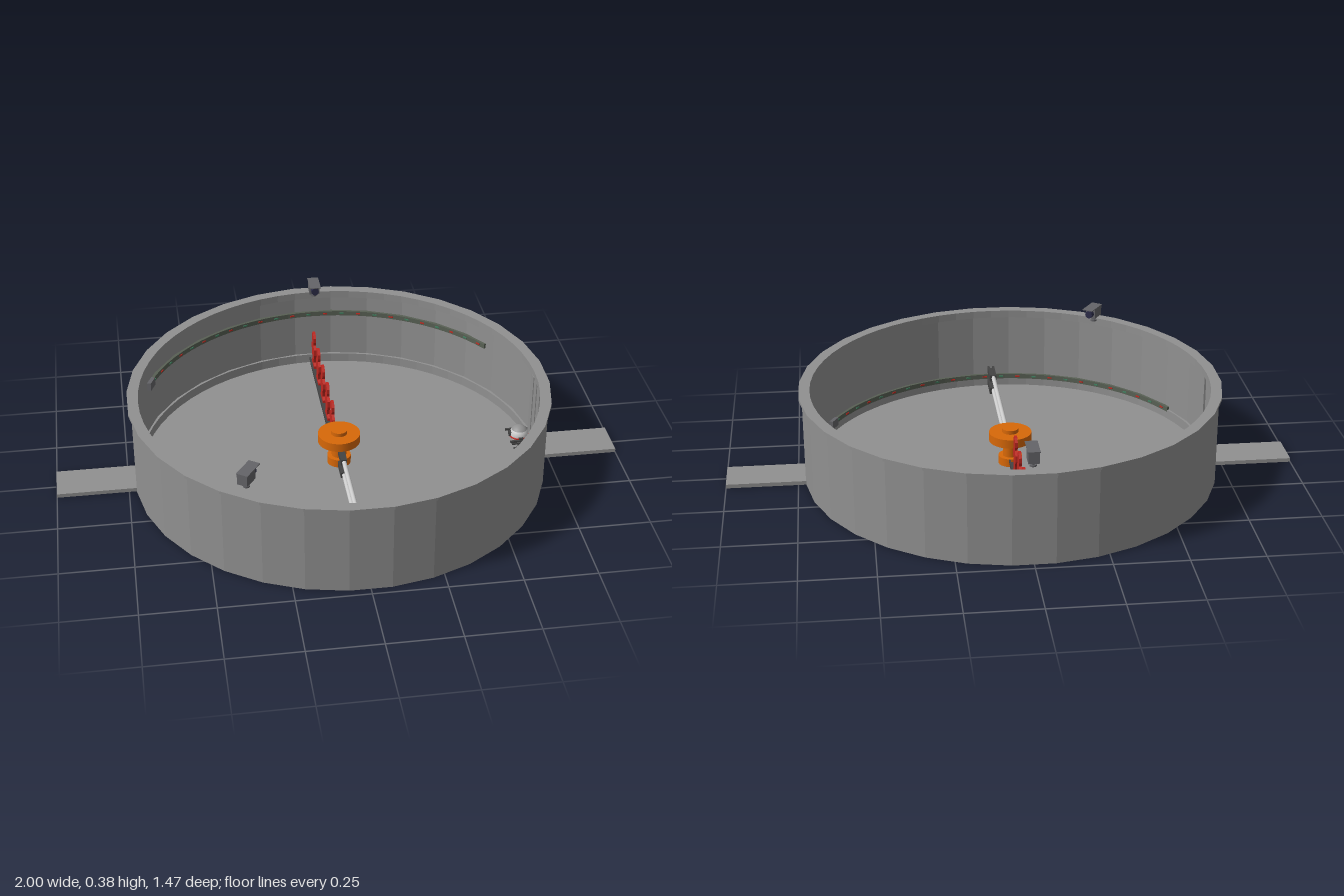
import * as THREE from 'three';

const mat = (color, flatShading = true) => new THREE.MeshStandardMaterial({ color, flatShading });
const grey = mat(0x909090), steel = mat(0x646468), dark = mat(0x444444), lens = mat(0x2c2c48, false);
const orange = mat(0xd86808, false), red = mat(0xc02820), strip = mat(0x586054), green = mat(0x408060);
const rodGrey = mat(0xe0e0e0, false), white = mat(0xf0f0f0, false), capGrey = mat(0x909090, false);

function add(parent, name, geometry, material, x = 0, y = 0, z = 0) {
  const mesh = new THREE.Mesh(geometry, material);
  mesh.name = name;
  mesh.position.set(x, y, z);
  parent.add(mesh);
  return mesh;
}
const box = (w, h, d) => new THREE.BoxGeometry(w, h, d);
const cyl = (r, h, n = 16) => new THREE.CylinderGeometry(r, r, h, n);

function group(parent, name, x = 0, y = 0, z = 0) {
  const g = new THREE.Group();
  g.name = name;
  g.position.set(x, y, z);
  parent.add(g);
  return g;
}

// Curved block between two radii, two heights and two angles (angle 0 = +x, 90 deg = +z)
function arcBlock(r0, r1, y0, y1, a0, a1, n, nInner = n) {
  const pts = [];
  for (let i = 0; i <= n; i++) {
    const a = a0 + (a1 - a0) * i / n;
    pts.push(new THREE.Vector2(r1 * Math.cos(a), r1 * Math.sin(a)));
  }
  for (let i = nInner; i >= 0; i--) {
    const a = a0 + (a1 - a0) * i / nInner;
    pts.push(new THREE.Vector2(r0 * Math.cos(a), r0 * Math.sin(a)));
  }
  const g = new THREE.ExtrudeGeometry(new THREE.Shape(pts), { depth: y1 - y0, bevelEnabled: false });
  return g.rotateX(Math.PI / 2).translate(0, y1, 0);
}

// Camera on a post, looking along its local +z
function addCamera(parent, x, z) {
  const g = group(parent, 'watchCamera', x, 0.325, z);
  add(g, 'cameraFoot', cyl(0.012, 0.006), steel, 0, 0.003, 0);
  add(g, 'cameraPost', cyl(0.007, 0.024, 10), steel, 0, 0.012, 0);
  add(g, 'cameraBody', box(0.037, 0.038, 0.055), steel, 0, 0.038, 0);
  add(g, 'cameraVisor', box(0.041, 0.003, 0.085), steel, 0, 0.0585, 0.014);
  add(g, 'cameraLens', cyl(0.014, 0.02), lens, 0, 0.037, 0.035).rotation.x = Math.PI / 2;
  g.rotation.y = Math.atan2(-x, -z);
}

// Flat target figure standing in the y-z plane
function figureGeometry() {
  const half = [[0.032, 0], [0.032, 0.014], [0.018, 0.024], [0.022, 0.042], [0.036, 0.065],
    [0.036, 0.088], [0.016, 0.1], [0.022, 0.114], [0.022, 0.132], [0.01, 0.146]];
  const pts = half.map(([x, y]) => new THREE.Vector2(x, y));
  half.slice().reverse().forEach(([x, y]) => pts.push(new THREE.Vector2(-x, y)));
  const g = new THREE.ExtrudeGeometry(new THREE.Shape(pts), { depth: 0.01, bevelEnabled: false });
  return g.translate(0, 0, -0.005).rotateY(Math.PI / 2);
}

export function createModel() {
  const model = new THREE.Group();
  model.name = 'arena';
  const half = Math.PI / 32;

  // Floor, wall halves with a low curb inside, and rim
  const floor = add(model, 'floor', cyl(0.722, 0.014, 32), grey, 0, 0.007, 0);
  floor.rotation.y = half;
  for (const a of [0, Math.PI]) {
    const from = a + half, to = a + Math.PI - half;
    add(model, 'wall', arcBlock(0.71, 0.727, 0, 0.317, from, to, 15), grey);
    add(model, 'curb', arcBlock(0.7, 0.712, 0.01, 0.048, from, to, 15, 30), grey);
    add(model, 'rim', arcBlock(0.697, 0.737, 0.315, 0.325, from, a + Math.PI + half, 16, 32), grey);
    add(model, 'rimLip', arcBlock(0.699, 0.712, 0.297, 0.317, from, a + Math.PI + half, 16, 32), grey);
    add(model, 'doorLintel', arcBlock(0.71, 0.727, 0.28, 0.317, a - half, a + half, 1), grey);
  }

  // Doors of finely stepped slats, open by a slit, with a ramp outside each
  for (const s of [1, -1]) {
    const gate = group(model, 'gate');
    for (let i = 0; i < 4; i++) {
      add(gate, 'doorSlat', box(0.01, 0.268, 0.0345), grey, s * (0.7183 - i * 0.003), 0.147, 0.0538 - i * 0.0343);
    }
    add(gate, 'ramp', box(0.29, 0.014, 0.142), grey, s * 0.855, 0.007, -0.005);
  }

  // Central turning hub
  const hub = group(model, 'hub');
  add(hub, 'hubBase', cyl(0.042, 0.03, 32), orange, 0, 0.029, 0);
  add(hub, 'hubShaft', cyl(0.026, 0.08, 32), orange, 0, 0.075, 0);
  add(hub, 'hubDisc', cyl(0.075, 0.032, 32), orange, 0, 0.118, 0);
  add(hub, 'hubCap', cyl(0.029, 0.014, 32), orange, 0, 0.141, 0);

  // Rail carrying the target figures
  const rail = group(model, 'figureRail', -0.004, 0, 0);
  add(rail, 'railBeam', box(0.02, 0.02, 0.64), dark, 0, 0.026, -0.365);
  for (const s of [1, -1]) add(rail, 'railEdge', box(0.005, 0.012, 0.64), dark, s * 0.01, 0.039, -0.365);
  const figure = figureGeometry();
  for (let i = 0; i < 5; i++) add(rail, 'figure', figure, red, 0, 0.032, -0.14 - i * 0.125);

  // Twin rods with end brackets
  const rods = group(model, 'rodArm');
  for (const y of [0.035, 0.088]) {
    add(rods, 'rod', cyl(0.008, 0.5, 16), rodGrey, 0.001, y, 0.35).rotation.x = Math.PI / 2;
    add(rods, 'innerBracket', box(0.022, 0.022, 0.075), dark, 0, y, 0.085);
    for (const s of [1, -1]) add(rods, 'outerBracket', box(0.008, 0.024, 0.095), dark, 0.003 + s * 0.009, y, 0.637);
    add(rods, 'outerBracketCore', box(0.012, 0.016, 0.08), dark, 0.003, y, 0.635);
  }

  // Light strips along the inside wall: low at the front, high at the back
  for (const [start, y] of [[0.48, 0.05], [0.4 + Math.PI, 0.228]]) {
    const g = group(model, 'lightStrip');
    const span = Math.PI * 0.7;
    add(g, 'stripBand', arcBlock(0.698, 0.712, y - 0.009, y + 0.009, start, start + span, 32), strip);
    for (let i = 0; i < 24; i++) {
      const a = start + span * (i + 0.5) / 24;
      const lamp = add(g, 'lamp', box(0.004, 0.005, 0.016), i % 2 ? red : green,
        0.697 * Math.cos(a), y, 0.697 * Math.sin(a));
      lamp.rotation.y = -a;
    }
    const end = add(g, 'stripEnd', box(0.014, 0.03, 0.045), steel, 0.698 * Math.cos(start), y, 0.698 * Math.sin(start));
    end.rotation.y = -start;
  }

  // Cameras on the rim
  addCamera(model, 0, -0.672);
  addCamera(model, -0.378, 0.555);

  // Small round robot beside the gate, facing the hub
  const robot = group(model, 'robot', 0.655, 0.014, 0);
  add(robot, 'robotBody', new THREE.SphereGeometry(0.034, 20, 14), white, 0, 0.055, 0);
  add(robot, 'robotCap', new THREE.SphereGeometry(0.0355, 20, 6, 0, Math.PI * 2, 0, 0.9), capGrey, 0, 0.055, 0);
  add(robot, 'robotBelt', new THREE.TorusGeometry(0.032, 0.004, 8, 24), red, 0, 0.052, 0).rotation.x = Math.PI / 2;
  add(robot, 'robotEye', cyl(0.011, 0.008, 16), dark, -0.033, 0.06, 0).rotation.z = Math.PI / 2;
  for (const s of [1, -1]) {
    add(robot, 'robotShoulder', box(0.016, 0.016, 0.01), dark, 0, 0.052, s * 0.036);
    add(robot, 'robotArm', box(0.065, 0.007, 0.007), dark, -0.008, 0.05, s * 0.041);
    add(robot, 'robotLeg', box(0.01, 0.03, 0.008), dark, 0, 0.016, s * 0.018);
    add(robot, 'robotFoot', box(0.03, 0.006, 0.014), dark, -0.004, 0.003, s * 0.018);
  }
  return model;
}
